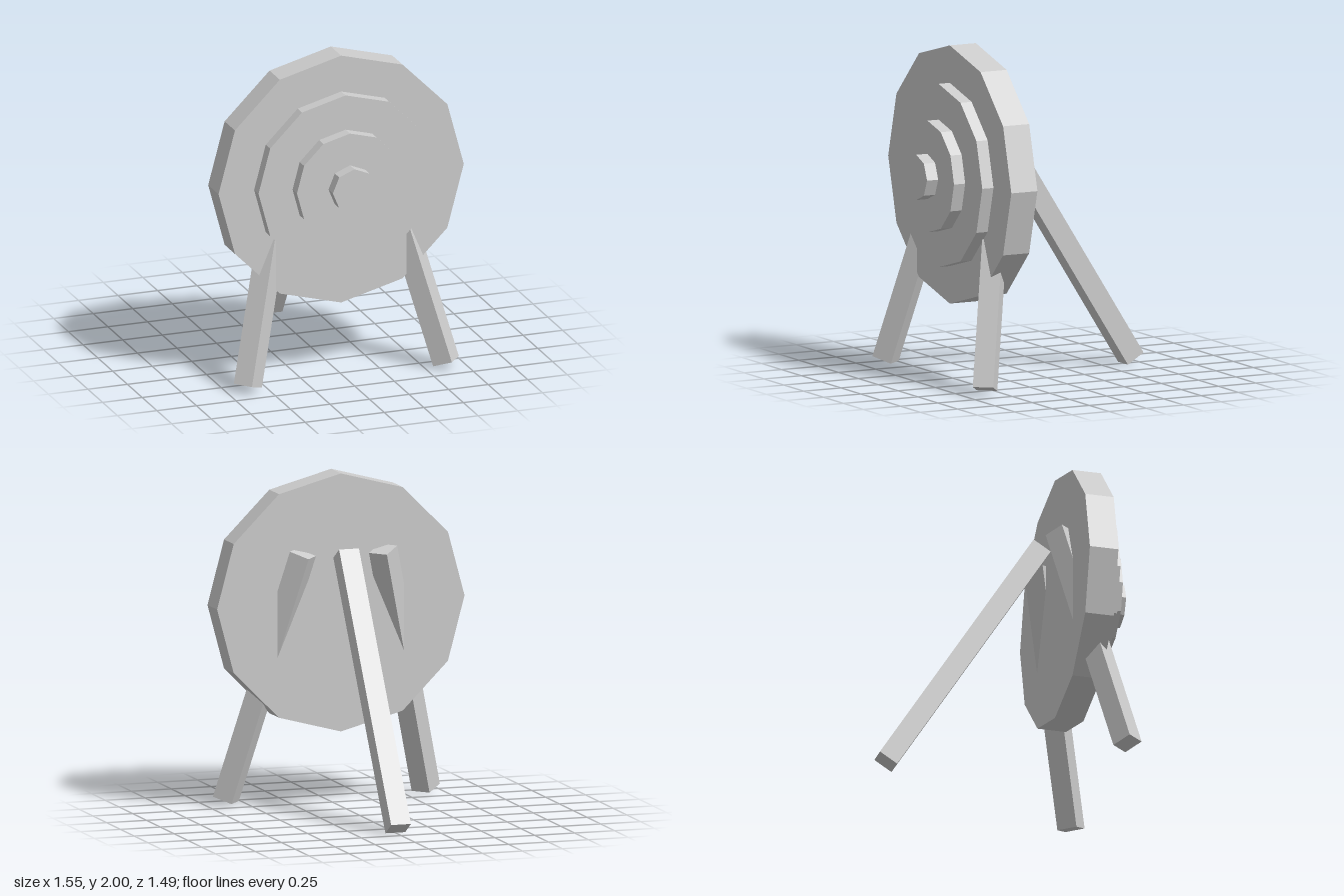
import * as THREE from 'three';

export function createModel() {
  const group = new THREE.Group();
  const grey = new THREE.MeshStandardMaterial({ color: 0xcccccc, flatShading: true });
  grey.name = 'plain grey';

  // Stacked target discs facing +z: name, radius, sides, back z, front z
  const centreY = 1.225;
  const discs = [
    ['backingBoard', 0.775, 12, 0.345, 0.52],
    ['outerRing', 0.55, 12, 0.52, 0.595],
    ['innerRing', 0.335, 12, 0.595, 0.67],
    ['bullseye', 0.136, 8, 0.67, 0.745],
  ];
  for (const [name, radius, sides, back, front] of discs) {
    const geometry = new THREE.CylinderGeometry(radius, radius, front - back, sides);
    geometry.rotateX(Math.PI / 2);
    const disc = new THREE.Mesh(geometry, grey);
    disc.name = name;
    disc.position.set(0, centreY, (front + back) / 2);
    group.add(disc);
  }

  // Square post between two end centres, one pair of sides kept vertical
  function addLeg(name, bottom, top) {
    const a = new THREE.Vector3(...bottom);
    const b = new THREE.Vector3(...top);
    const along = b.clone().sub(a);
    const leg = new THREE.Mesh(new THREE.BoxGeometry(0.124, along.length(), 0.124), grey);
    along.normalize();
    const across = new THREE.Vector3(0, 1, 0).cross(along).normalize();
    const depth = across.clone().cross(along);
    leg.quaternion.setFromRotationMatrix(new THREE.Matrix4().makeBasis(across, along, depth));
    leg.position.copy(a).add(b).multiplyScalar(0.5);
    leg.name = name;
    group.add(leg);
  }

  // Tripod stand: two splayed front legs piercing the board, one rear prop
  for (const [name, s] of [['leftFrontLeg', 1], ['rightFrontLeg', -1]]) {
    addLeg(name, [s * 0.626, 0.037, 0.617], [s * 0.251, 1.537, 0.305]);
  }
  addLeg('rearLeg', [0, 0.034, -0.695], [0, 1.537, 0.249]);

  return group;
}
